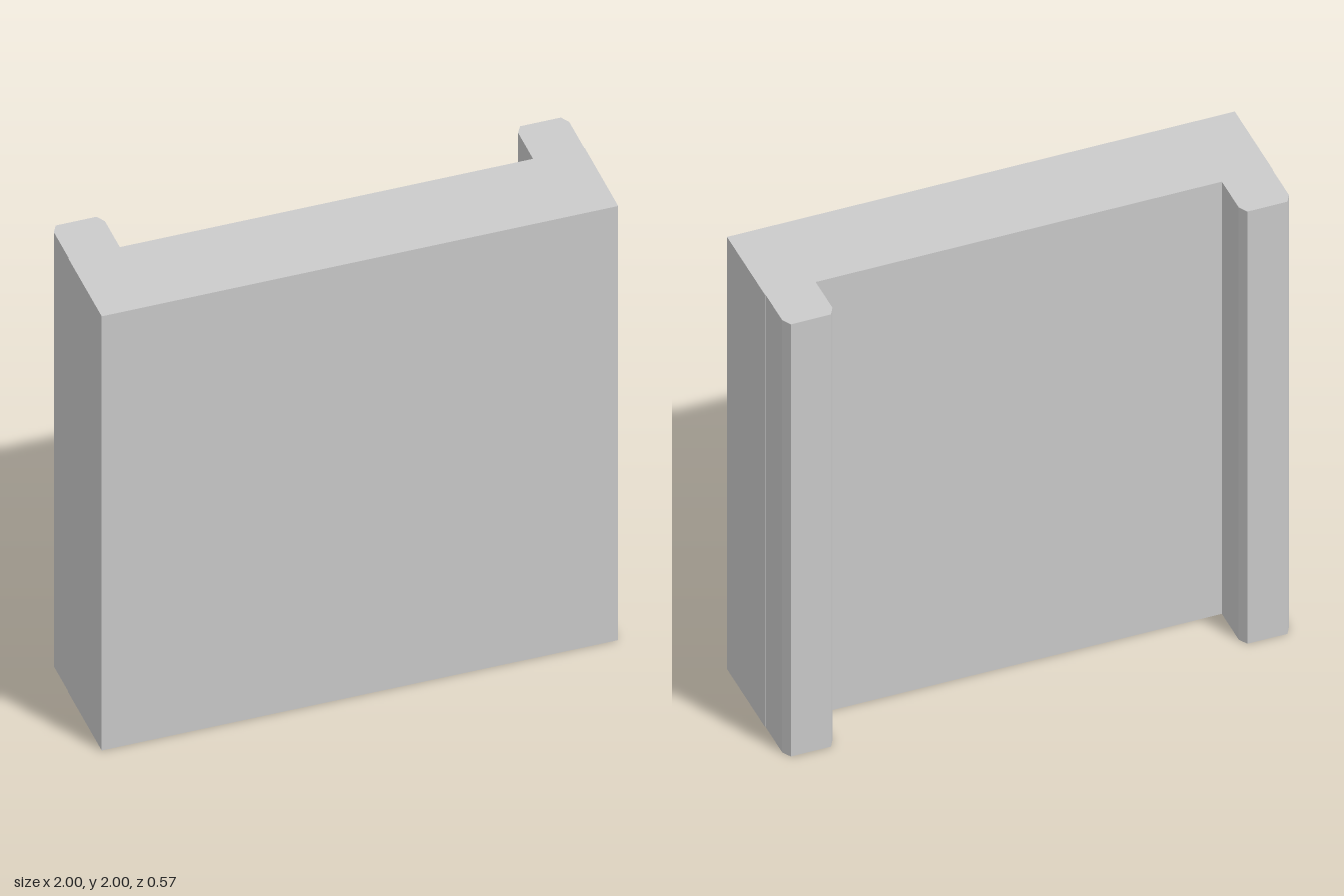
import * as THREE from 'three';

const HEIGHT = 2;
const FRONT = 0.285, PANEL_BACK = -0.085, RAIL_BACK = -0.285;
const RAIL_INNER = 0.8, RAIL_OUTER = 0.998;
const CHAMFER_X = 0.02, CHAMFER_Z = 0.035;

// Upright rail with two chamfered back corners, extruded along y
function railGeometry(side) {
  const x0 = side > 0 ? RAIL_INNER : -RAIL_OUTER;
  const x1 = side > 0 ? RAIL_OUTER : -RAIL_INNER;
  // Shape y is -z, so that the turn below stands the rail upright
  const near = -PANEL_BACK, far = -RAIL_BACK;
  const shape = new THREE.Shape([
    [x0, near], [x1, near],
    [x1, far - CHAMFER_Z], [x1 - CHAMFER_X, far],
    [x0 + CHAMFER_X, far], [x0, far - CHAMFER_Z],
  ].map(([x, y]) => new THREE.Vector2(x, y)));
  const geometry = new THREE.ExtrudeGeometry(shape, { depth: HEIGHT, bevelEnabled: false });
  return geometry.rotateX(-Math.PI / 2);
}

export function createModel() {
  const model = new THREE.Group();
  model.name = 'wallPanel';
  const material = new THREE.MeshStandardMaterial({ color: 0xcccccc, flatShading: true });

  // Thick front slab
  const panel = new THREE.Mesh(new THREE.BoxGeometry(2, HEIGHT, FRONT - PANEL_BACK), material);
  panel.name = 'panel';
  panel.position.set(0, HEIGHT / 2, (FRONT + PANEL_BACK) / 2);
  model.add(panel);

  // Rails along the two back edges
  for (const [name, side] of [['leftRail', 1], ['rightRail', -1]]) {
    const rail = new THREE.Mesh(railGeometry(side), material);
    rail.name = name;
    model.add(rail);
  }
  return model;
}
